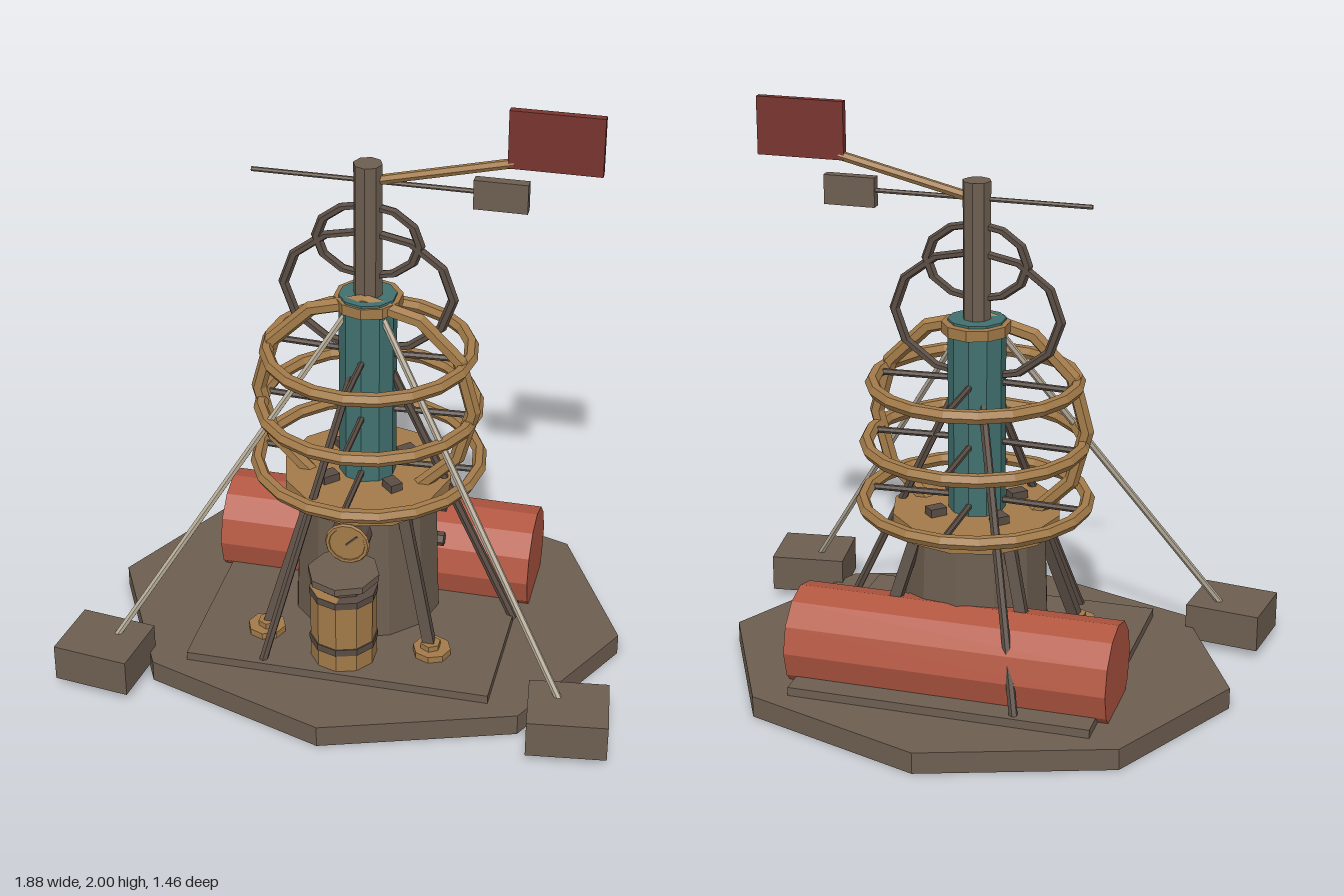
import * as THREE from 'three';

const paint = (name, color) => {
  const m = new THREE.MeshStandardMaterial({ color, flatShading: true });
  m.name = name;
  return m;
};

export function createModel() {
  const root = new THREE.Group();
  root.name = 'weatherMachine';
  const stone = paint('weathered brown', 0x6d5e50);
  const iron = paint('dark iron', 0x5a4d44);
  const brass = paint('brass', 0xa37b49);
  const red = paint('tank red', 0xb25741);
  const maroon = paint('vane maroon', 0x78342f);
  const teal = paint('teal glass', 0x41716f);
  const cord = paint('pale rope', 0xb5aa97);

  const add = (name, geo, mat, x = 0, y = 0, z = 0) => {
    const m = new THREE.Mesh(geo, mat);
    m.name = name;
    m.position.set(x, y, z);
    root.add(m);
    return m;
  };
  const box = (name, mat, w, h, d, x, y, z) => add(name, new THREE.BoxGeometry(w, h, d), mat, x, y, z);
  // Upright cylinder between two heights
  const drum = (name, mat, rTop, rBottom, y0, y1, sides, x = 0, z = 0) =>
    add(name, new THREE.CylinderGeometry(rTop, rBottom, y1 - y0, sides), mat, x, (y0 + y1) / 2, z);
  // Bar between two points; four sides make a square bar
  const rod = (name, mat, a, b, r, sides = 6) => {
    const p = new THREE.Vector3(...a), q = new THREE.Vector3(...b);
    const geo = new THREE.CylinderGeometry(r, r, p.distanceTo(q), sides);
    if (sides === 4) geo.rotateY(Math.PI / 4);
    const m = add(name, geo, mat);
    m.position.copy(p).add(q).multiplyScalar(0.5);
    m.quaternion.setFromUnitVectors(new THREE.Vector3(0, 1, 0), q.sub(p).normalize());
    return m;
  };

  // Octagonal base and deck
  drum('base', stone, 0.89, 0.89, 0, 0.075, 8).scale.z = 0.82;
  box('deck', stone, 1.04, 0.03, 0.95, 0, 0.09, 0);

  // Drum body with brass collar, column and mast
  drum('body', stone, 0.24, 0.255, 0.1, 0.58, 12);
  drum('collar', brass, 0.29, 0.29, 0.58, 0.635, 12);
  drum('column', teal, 0.097, 0.097, 0.63, 1.305, 10);
  drum('columnCap', brass, 0.115, 0.115, 1.26, 1.297, 10, 0, -0.01);
  drum('mast', stone, 0.048, 0.048, 1.2, 1.77, 8);

  // Horizontal tank and its valve
  add('tank', new THREE.CylinderGeometry(0.178, 0.178, 1.11, 12).rotateZ(Math.PI / 2), red, 0, 0.195, -0.237);
  rod('valve', iron, [0.2, 0.325, -0.08], [0.255, 0.325, -0.08], 0.025);

  // Diagonal buttresses with brass foot pads and collar bolts
  for (const sx of [-1, 1]) for (const sz of [-1, 1]) {
    rod('buttress', iron, [sx * 0.16, 0.58, sz * 0.16], [sx * 0.285, 0.12, sz * 0.28], 0.027, 4);
    drum('footPad', brass, 0.065, 0.065, 0.1, 0.128, 8, sx * 0.29, sz * 0.28);
    drum('footSocket', brass, 0.035, 0.035, 0.125, 0.148, 6, sx * 0.285, sz * 0.28);
    box('collarBolt', iron, 0.045, 0.03, 0.06, sx * 0.11, 0.648, sz * 0.11).rotation.y = sx * sz * Math.PI / 4;
  }

  // Tripod legs
  for (let i = 0; i < 3; i++) {
    const a = i * Math.PI * 2 / 3, c = Math.cos(a), s = Math.sin(a);
    rod('tripodLeg', iron, [c * 0.52, 0.09, s * 0.52], [c * 0.07, 1.05, s * 0.07], 0.015);
  }

  // Horizontal coil rings on four spokes each
  for (const [y, r] of [[0.67, 0.38], [0.88, 0.365], [1.09, 0.343]]) {
    add('coilRing', new THREE.TorusGeometry(r, 0.024, 6, 20).rotateX(Math.PI / 2), brass, 0, y, -0.017);
    for (let i = 0; i < 4; i++) {
      const a = i * Math.PI / 2, c = Math.cos(a), s = Math.sin(a);
      rod('coilSpoke', iron, [c * 0.08, y, s * 0.08], [c * r, y, s * r - 0.017], 0.011);
    }
  }

  // Upright brass arch in front of the column
  add('arch', new THREE.TorusGeometry(0.367, 0.026, 6, 10, Math.PI * 5 / 3).rotateZ(-Math.PI / 3), brass, 0, 0.93, 0.042);

  // Mast loops
  add('lowerLoop', new THREE.TorusGeometry(0.285, 0.018, 6, 12), iron, 0, 1.315, 0).scale.y = 0.76;
  add('upperLoop', new THREE.TorusGeometry(0.172, 0.018, 6, 12), iron, 0, 1.498, 0).scale.y = 0.74;

  // Wind vane and balance arm
  rod('balanceArm', stone, [-0.385, 1.71, 0], [0.36, 1.71, 0], 0.008);
  box('counterweight', stone, 0.175, 0.1, 0.035, 0.432, 1.705, 0);
  rod('vaneArm', brass, [0.03, 1.715, 0], [0.47, 1.82, 0], 0.016);
  box('vane', maroon, 0.3, 0.195, 0.026, 0.6, 1.9025, 0);

  // Barrel with hoops and lid
  drum('barrel', brass, 0.112, 0.112, 0.105, 0.385, 10, 0, 0.35);
  for (const y of [0.17, 0.36]) drum('barrelHoop', iron, 0.116, 0.116, y, y + 0.025, 10, 0, 0.35);
  drum('barrelNeck', iron, 0.08, 0.08, 0.38, 0.425, 8, 0, 0.35);
  drum('barrelLid', stone, 0.122, 0.122, 0.42, 0.445, 8, 0, 0.35);

  // Pressure gauge on the front of the body
  add('gaugeBody', new THREE.CylinderGeometry(0.068, 0.068, 0.1, 12).rotateX(Math.PI / 2), iron, 0, 0.515, 0.245);
  add('gaugeFace', new THREE.CylinderGeometry(0.064, 0.064, 0.008, 12).rotateX(Math.PI / 2), brass, 0, 0.515, 0.297);
  add('gaugeRim', new THREE.TorusGeometry(0.067, 0.01, 6, 14), brass, 0, 0.515, 0.295);
  rod('gaugeNeedle', iron, [-0.003, 0.512, 0.302], [0.035, 0.55, 0.302], 0.004, 4);

  // Anchor blocks and guy ropes
  for (const s of [-1, 1]) {
    box('anchorBlock', stone, 0.265, 0.13, 0.23, s * 0.795, 0.095, 0.523).rotation.y = s * 0.13;
    rod('guyRope', cord, [s * 0.76, 0.15, 0.495], [s * 0.06, 1.25, 0.05], 0.012);
  }
  return root;
}
